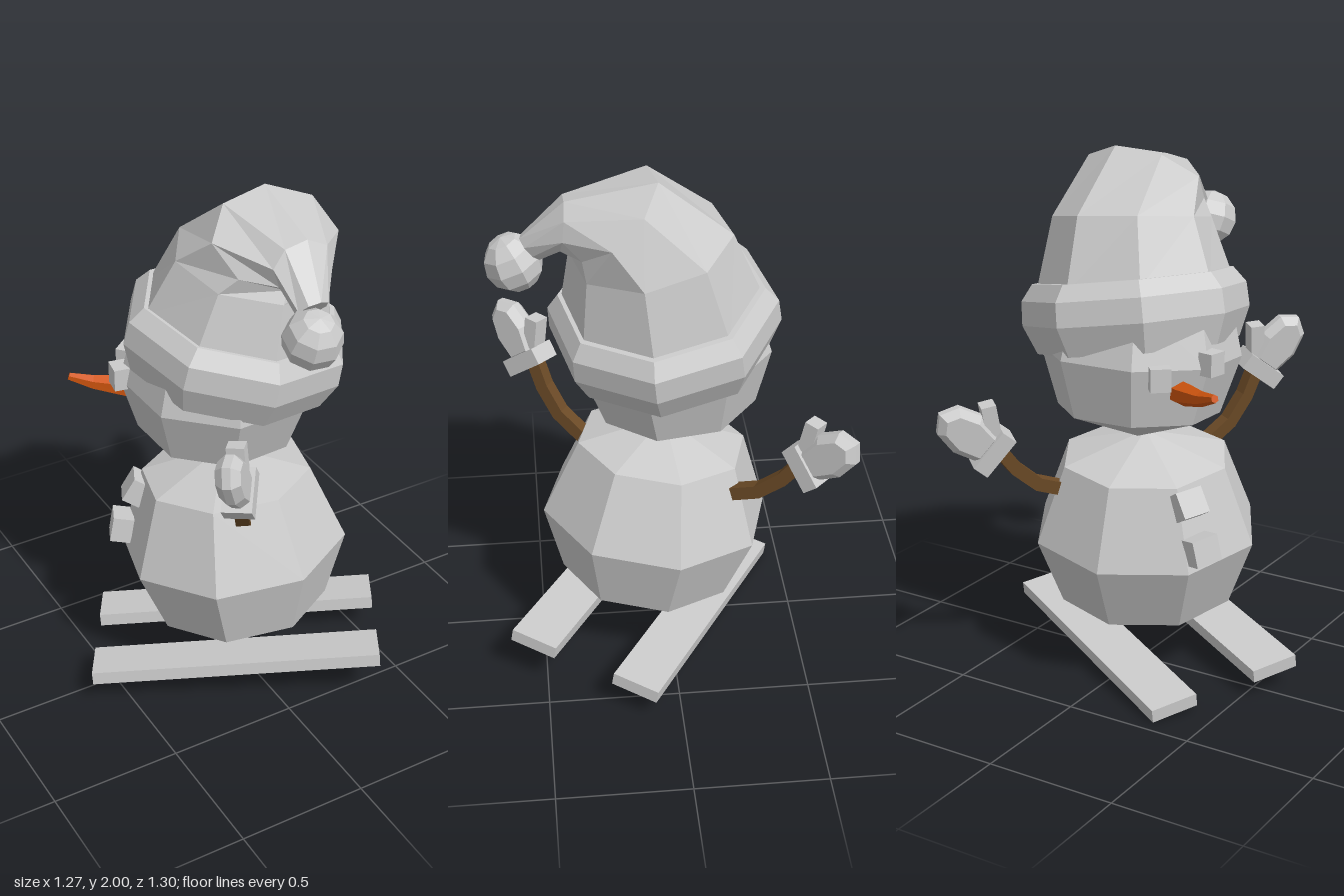
import * as THREE from 'three';

const mat = (color) => new THREE.MeshStandardMaterial({ color, flatShading: true, side: THREE.DoubleSide });
const V = (x, y, z) => new THREE.Vector3(x, y, z);

// Skin a list of rings {c: centre, r: radius, rx: pitch, rz: roll, w: width factor}, both ends capped
function loft(rings, sides, phase = 0) {
  const pos = [], idx = [];
  for (const { c, r, rx = 0, rz = 0, w = 1 } of rings) {
    for (let k = 0; k < sides; k++) {
      const a = phase + (k / sides) * Math.PI * 2;
      const p = V(r * w * Math.sin(a), 0, r * Math.cos(a)).applyEuler(new THREE.Euler(rx, 0, rz)).add(V(...c));
      pos.push(p.x, p.y, p.z);
    }
  }
  for (let i = 0; i < rings.length - 1; i++) {
    for (let k = 0; k < sides; k++) {
      const a = i * sides + k, b = i * sides + (k + 1) % sides;
      idx.push(a, b, b + sides, a, b + sides, a + sides);
    }
  }
  const last = (rings.length - 1) * sides;
  for (let k = 1; k < sides - 1; k++) idx.push(0, k + 1, k, last, last + k, last + k + 1);
  const g = new THREE.BufferGeometry();
  g.setAttribute('position', new THREE.Float32BufferAttribute(pos, 3));
  g.setIndex(idx);
  g.computeVertexNormals();
  return g;
}

const lathe = (pts, sides) => new THREE.LatheGeometry(pts.map(([x, y]) => new THREE.Vector2(x, y)), sides);

export function createModel() {
  const root = new THREE.Group();
  root.name = 'snowman';
  const grey = mat(0xcccccc), wood = mat(0x6b4a26), orange = mat(0xd2560f);
  const YAW = -2.094;

  const add = (parent, name, geo, material, p = [0, 0, 0], r = [0, 0, 0]) => {
    const m = new THREE.Mesh(geo, material);
    m.name = name;
    m.position.set(...p);
    m.rotation.set(...r);
    parent.add(m);
    return m;
  };

  // Lower half: turned and tilted with the slope
  const lower = new THREE.Group();
  lower.name = 'lowerHalf';
  lower.position.set(0, 0.11, 0.09);
  lower.rotation.set(-0.16, YAW, 0);
  root.add(lower);

  add(lower, 'body', lathe([[0, -0.42], [0.345, -0.265], [0.44, 0], [0.325, 0.3], [0, 0.4]], 8),
    grey, [0.02, 0.435, -0.02], [0, -0.14, -0.08]);
  add(lower, 'upperButton', new THREE.BoxGeometry(0.11, 0.1, 0.08), grey, [0.025, 0.67, 0.33], [-0.6, 0.1, 0]);
  add(lower, 'lowerButton', new THREE.BoxGeometry(0.11, 0.1, 0.08), grey, [0.025, 0.515, 0.405], [-0.25, 0.1, 0]);

  // Mitten outline, fingers up
  const palm = new THREE.Shape([[-0.055, 0.02], [0.055, 0.02], [0.075, 0.12], [0.055, 0.205],
    [0, 0.24], [-0.055, 0.205], [-0.075, 0.12]].map(([x, y]) => new THREE.Vector2(x, y)));
  const palmGeo = new THREE.ExtrudeGeometry(palm, {
    depth: 0.03, bevelEnabled: true, bevelSegments: 1, bevelSize: 0.025, bevelThickness: 0.03, bevelOffset: -0.015,
  }).translate(0, 0, -0.015);

  for (const s of [1, -1]) {
    const side = s > 0 ? 'left' : 'right';
    add(lower, side + 'Ski', new THREE.BoxGeometry(0.187, 0.05, 1.11), grey, [s * 0.2175, 0, 0]);

    // Stick arm with two bends
    const path = [[0.28, 0.65], [0.42, 0.725], [0.5, 0.815], [0.56, 0.92]];
    const lean = [1.0, 0.95, 0.7, 0.55];
    add(lower, side + 'Arm', loft(path.map(([x, y], i) => ({
      c: [s * x, y, 0], r: 0.036, rz: -s * lean[i],
    })), 4, Math.PI / 4), wood, [0.03, 0, -0.08]);

    // Mitten: cuff, palm and thumb
    const mitten = new THREE.Group();
    mitten.name = side + 'Mitten';
    mitten.position.set(0.03 + s * 0.575, 0.91, -0.085);
    mitten.rotation.set(0, -0.2, -s * 0.76);
    lower.add(mitten);
    add(mitten, 'cuff', new THREE.BoxGeometry(0.17, 0.065, 0.11), grey);
    add(mitten, 'palm', palmGeo, grey);
    add(mitten, 'thumb', new THREE.BoxGeometry(0.055, 0.12, 0.065), grey, [-s * 0.09, 0.085, 0], [0, 0, s * 0.7]);
  }

  // Head
  const head = new THREE.Group();
  head.name = 'head';
  root.add(head);
  add(head, 'skull', lathe([[0, -0.32], [0.305, -0.21], [0.375, 0.01], [0.32, 0.24], [0, 0.36]], 8),
    grey, [-0.01, 1.25, -0.02], [0.07, YAW + 0.2, 0]);
  const eye = new THREE.BoxGeometry(0.075, 0.085, 0.06);
  add(head, 'leftEye', eye, grey, [-0.37, 1.29, -0.125], [0, YAW + 0.35, 0]);
  add(head, 'rightEye', eye, grey, [-0.255, 1.255, -0.29], [0, YAW - 0.35, 0]);

  // Carrot nose, curving up slightly; built along +z and turned to the face
  add(head, 'nose', loft([
    { c: [0, 0, -0.06], r: 0.048, rx: 1.57 },
    { c: [0, 0, 0.02], r: 0.045, rx: 1.57 },
    { c: [0, 0.015, 0.14], r: 0.029, rx: 1.45 },
    { c: [0, 0.04, 0.23], r: 0.015, rx: 1.25 },
  ], 6), orange, [-0.29, 1.185, -0.195], [0, YAW, 0]);

  // Hat: thick brim, drooping cone and bobble
  const hat = new THREE.Group();
  hat.name = 'hat';
  root.add(hat);
  const PHASE = 35 * Math.PI / 180;
  const brim = lathe([[0.33, -0.15], [0.378, -0.15], [0.425, -0.04], [0.42, 0.05], [0.375, 0.11], [0.33, 0.11], [0.33, -0.15]], 8);
  brim.rotateY(PHASE);
  add(hat, 'brim', brim, grey, [0.035, 1.42, 0.015], [0.11, 0, -0.17]);
  add(hat, 'cone', loft([
    { c: [0.045, 1.5, 0.025], r: 0.365, rx: 0.11, rz: -0.17 },
    { c: [0.08, 1.74, 0.065], r: 0.295, rx: 0.17, rz: -0.1 },
    { c: [0.095, 1.87, 0.19], r: 0.2, rx: 0.72, w: 1.22 },
    { c: [0.09, 1.84, 0.375], r: 0.092, rx: 1.45, w: 1.3 },
    { c: [0.06, 1.735, 0.485], r: 0.055, rx: 2.3, w: 1.1 },
  ], 8, PHASE), grey);
  add(hat, 'bobble', new THREE.SphereGeometry(0.108, 8, 6), grey, [0.025, 1.66, 0.545], [0.4, 0.3, 0]);

  return root;
}
